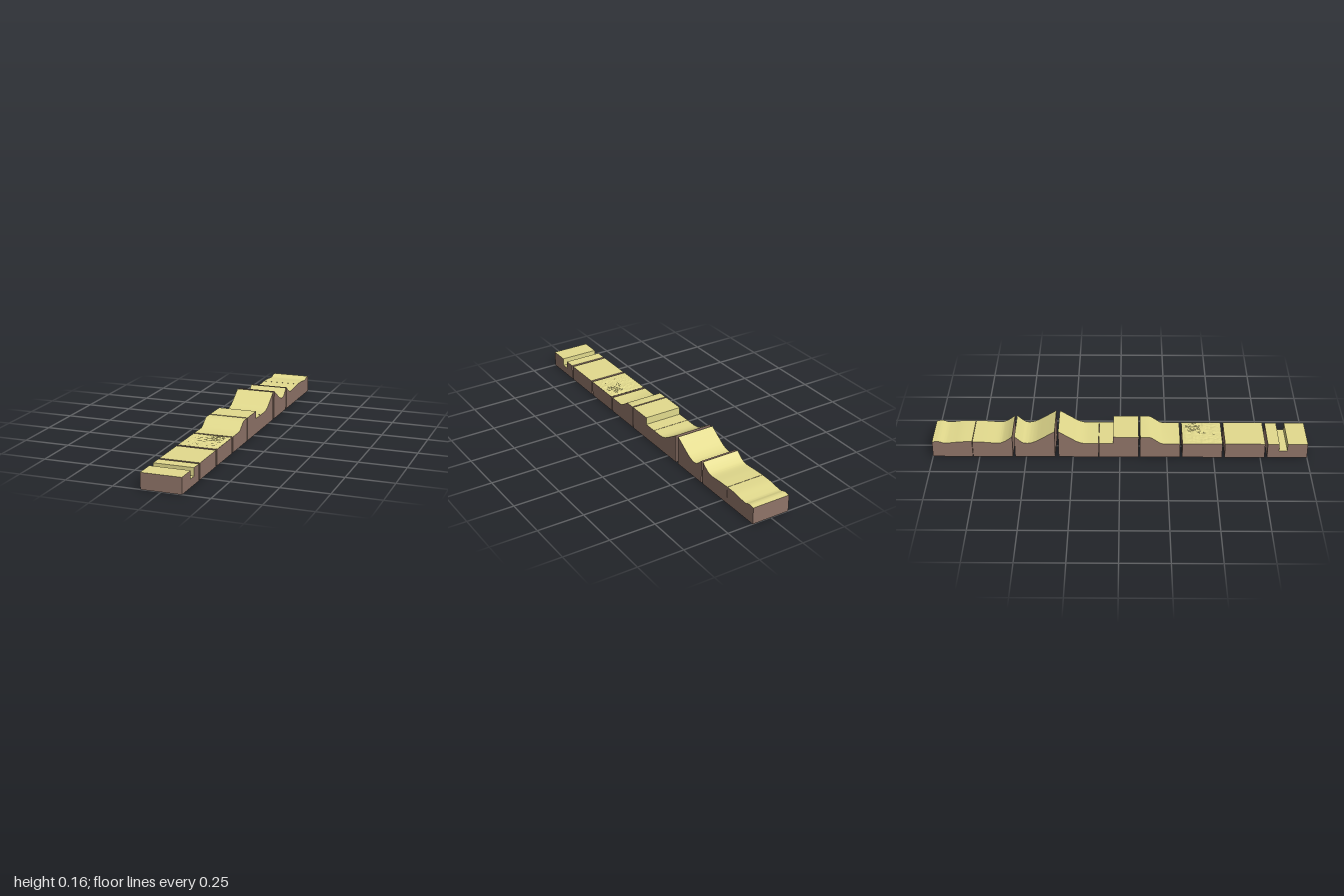
import * as THREE from 'three';
import { toCreasedNormals } from 'three/addons/utils/BufferGeometryUtils.js';

const W = 0.106; // half width of every tile
const LOW = 0.085, HIGH = 0.126; // ground and platform heights

const grass = new THREE.MeshStandardMaterial({ name: 'dry grass', color: 0xe2da8d });
const earth = new THREE.MeshStandardMaterial({ name: 'brown earth', color: 0x8f7468 });

// Sheet spanning the tile width along a path of [z, y] points
function ribbon(path) {
  const pos = [], idx = [];
  path.forEach(([z, y], i) => {
    pos.push(-W, y, z, W, y, z);
    if (i) {
      const a = 2 * i - 2;
      idx.push(a, a + 1, a + 3, a, a + 3, a + 2);
    }
  });
  const g = new THREE.BufferGeometry();
  g.setAttribute('position', new THREE.Float32BufferAttribute(pos, 3));
  g.setIndex(idx);
  g.computeVertexNormals();
  return toCreasedNormals(g, 0.5);
}

// Side wall filling the profile, facing +x (side 1) or -x (side -1)
function sideWall(path, side) {
  const shape = new THREE.Shape(path.map(([z, y]) => new THREE.Vector2(-side * z, y)));
  return new THREE.ShapeGeometry(shape).rotateY(side * Math.PI / 2).translate(side * W, 0, 0);
}

// Round a coarse profile into a gentle slope
function smooth(path) {
  const curve = new THREE.CatmullRomCurve3(path.map(([z, y]) => new THREE.Vector3(0, y, z)), false, 'centripetal');
  return curve.getPoints(28).map((p) => [p.z, p.y]);
}

// Uneven ground: seeded value noise with a low mound, fading at the rim
function roughGround(z0, z1) {
  const hash = (i, j) => {
    const s = Math.sin(i * 127.1 + j * 311.7) * 43758.5453;
    return s - Math.floor(s);
  };
  const length = z0 - z1;
  const g = new THREE.PlaneGeometry(2 * W, length, 22, 22).rotateX(-Math.PI / 2);
  const p = g.attributes.position;
  for (let i = 0; i < p.count; i++) {
    const x = p.getX(i), z = p.getZ(i);
    const rim = Math.min(1, (W - Math.abs(x)) / 0.02, (length / 2 - Math.abs(z)) / 0.02);
    const mound = Math.exp(-((x - 0.055) ** 2 + (z + 0.04) ** 2) / 0.003);
    const n = hash(Math.round(x * 100), Math.round(z * 100));
    p.setY(i, LOW + 0.0005 + Math.max(0, rim) * (0.003 * n + mound * (0.002 + 0.005 * n)));
  }
  g.translate(0, 0, (z0 + z1) / 2);
  const flat = g.toNonIndexed();
  flat.computeVertexNormals();
  return flat;
}

export function createModel() {
  const model = new THREE.Group();
  model.name = 'terrainTiles';

  // Top profiles run from front (+z) to back (-z)
  const tiles = [
    { name: 'trenchTile', top: [[1, LOW], [0.893, LOW], [0.893, 0.043], [0.849, 0.043], [0.849, LOW], [0.787, LOW]] },
    { name: 'flatTile', top: [[0.773, LOW], [0.56, LOW]] },
    { name: 'roughTile', top: [[0.546, LOW], [0.333, LOW]], rough: true },
    { name: 'rampTile', top: [[0.321, LOW], [0.228, LOW], [0.213, 0.09], [0.168, 0.122], [0.155, HIGH], [0.108, HIGH]] },
    { name: 'stepTile', top: [[0.1, HIGH], [-0.036, HIGH], [-0.036, LOW], [-0.112, LOW]] },
    {
      name: 'hillFrontTile', grassBase: true,
      top: smooth([[-0.114, LOW], [-0.18, 0.085], [-0.2, 0.088], [-0.225, 0.096], [-0.255, 0.114], [-0.327, 0.16]]),
    },
    {
      name: 'hillBackTile', grassBase: true,
      top: smooth([[-0.346, 0.16], [-0.41, 0.12], [-0.45, 0.097], [-0.485, 0.086], [-0.515, 0.089], [-0.535, 0.104], [-0.56, 0.127]]),
    },
    {
      name: 'lowSlopeTile',
      top: smooth([[-0.572, 0.127], [-0.6, 0.105], [-0.63, 0.089], [-0.65, 0.086], [-0.72, 0.091], [-0.785, 0.094]]),
    },
    {
      name: 'gullyTile',
      top: smooth([[-0.787, 0.094], [-0.85, 0.093], [-0.9, 0.087], [-0.935, 0.085], [-0.965, 0.094], [-1, 0.092]]),
    },
  ];

  for (const { name, top, rough, grassBase } of tiles) {
    const tile = new THREE.Group();
    tile.name = name;
    const add = (part, geometry, material) => {
      const mesh = new THREE.Mesh(geometry, material);
      mesh.name = part;
      tile.add(mesh);
    };
    const first = top[0], last = top[top.length - 1];
    const frontFoot = [first[0], 0], backFoot = [last[0], 0];
    const outline = [...top, backFoot, frontFoot];

    add('ground', rough ? roughGround(first[0], last[0]) : ribbon(top), grass);
    add('backWall', ribbon([last, backFoot]), earth);
    add('base', ribbon([backFoot, frontFoot]), grassBase ? grass : earth);
    add('frontWall', ribbon([frontFoot, first]), earth);
    add('leftWall', sideWall(outline, 1), earth);
    add('rightWall', sideWall(outline, -1), earth);
    model.add(tile);
  }
  return model;
}
